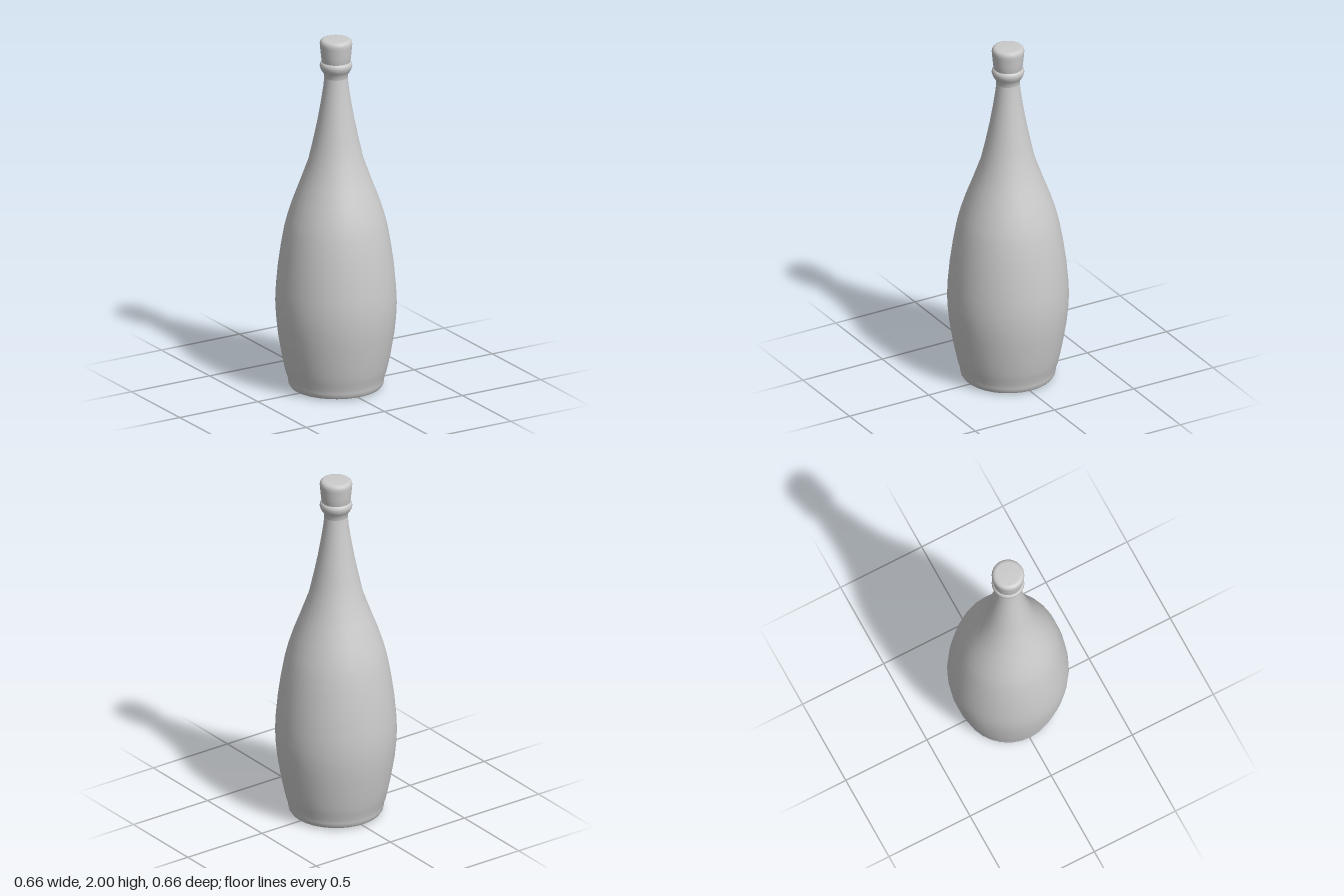
import * as THREE from 'three';

const SIDES = 30;
const material = new THREE.MeshStandardMaterial({ color: 0xcccccc, side: THREE.DoubleSide });

// Turn a [radius, height] profile, listed from bottom to top, around the y axis.
function turned(name, profile) {
  const points = profile.map(([r, y]) => new THREE.Vector2(r, y));
  const geometry = new THREE.LatheGeometry(points, SIDES);
  geometry.rotateY(Math.PI / 2); // puts a corner on the x axis
  const mesh = new THREE.Mesh(geometry, material);
  mesh.name = name;
  return mesh;
}

export function createModel() {
  const model = new THREE.Group();
  model.name = 'corkedBottle';

  // Very slightly domed underside
  model.add(turned('base', [[0, 0], [0.06, 0.001], [0.235, 0.006], [0.25, 0.009]]));

  // Foot, belly, shoulder and neck
  model.add(turned('body', [
    [0.25, 0.009], [0.259, 0.022], [0.262, 0.04], [0.264, 0.06], [0.276, 0.095],
    [0.284, 0.13], [0.297, 0.19], [0.319, 0.32], [0.328, 0.41], [0.332, 0.49],
    [0.328, 0.58], [0.317, 0.7], [0.3, 0.82], [0.282, 0.92], [0.264, 0.99],
    [0.235, 1.08], [0.197, 1.18], [0.15, 1.31], [0.125, 1.42], [0.1, 1.54],
    [0.081, 1.65], [0.069, 1.73], [0.064, 1.78],
  ]));

  // Rounded ring at the mouth
  model.add(turned('lip', [
    [0.064, 1.78], [0.067, 1.803], [0.078, 1.818], [0.085, 1.832],
    [0.089, 1.846], [0.088, 1.858], [0.083, 1.868], [0.075, 1.873], [0.05, 1.873],
  ]));

  // Stopper, widening to a rounded top
  model.add(turned('cork', [
    [0.07, 1.85], [0.079, 1.873], [0.083, 1.91], [0.088, 1.96], [0.089, 1.975],
    [0.086, 1.988], [0.078, 1.996], [0.065, 2], [0, 2],
  ]));

  return model;
}
